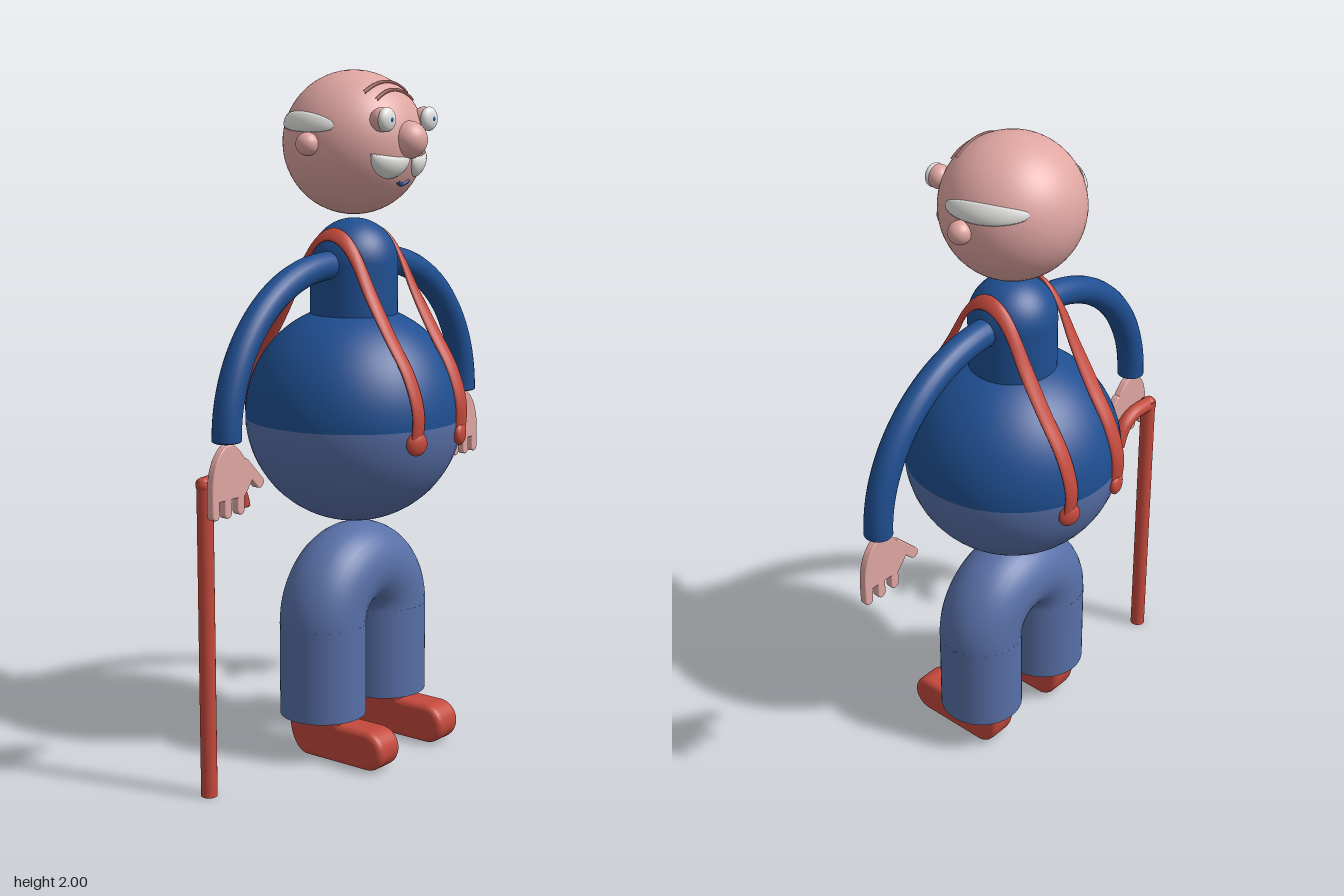
import * as THREE from 'three';
import { ParametricGeometry } from 'three/addons/geometries/ParametricGeometry.js';

const paint = (name, color, side = THREE.FrontSide) => {
  const m = new THREE.MeshStandardMaterial({ color, side });
  m.name = name;
  return m;
};
const V = (x, y, z = 0) => new THREE.Vector3(x, y, z);

export function createModel() {
  const shirt = paint('shirt blue', 0x1f4f92);
  const denim = paint('trouser blue', 0x5870a8);
  const skin = paint('skin pink', 0xe0a6a2);
  const red = paint('red', 0xc4493c, THREE.DoubleSide);
  const white = paint('hair white', 0xe2e2e0, THREE.DoubleSide);
  const crease = paint('crease brown', 0x8a5450);

  const root = new THREE.Group();
  root.name = 'oldMan';
  const add = (name, geo, mat, x = 0, y = 0, z = 0, parent = root) => {
    const m = new THREE.Mesh(geo, mat);
    m.name = name;
    m.position.set(x, y, z);
    parent.add(m);
    return m;
  };
  const ball = (r, t0 = 0, tl = Math.PI) => new THREE.SphereGeometry(r, 48, 32, 0, Math.PI * 2, t0, tl);
  const tube = (pts, r, n = 32) => new THREE.TubeGeometry(new THREE.CatmullRomCurve3(pts), n, r, 16);

  // Head
  const R = 0.205, HY = 1.795;
  const onHead = (x, y, r = R) => V(x, y, Math.sqrt(Math.max(0, r * r - x * x - (y - HY) ** 2)));
  add('head', ball(R), skin, 0, HY);
  add('nose', ball(0.053), skin, 0, 1.805, 0.195);

  // Forehead creases and mouth follow the head's surface
  const faceLine = (halfWidth, y, rise) =>
    tube(Array.from({ length: 11 }, (_, i) => {
      const t = i / 5 - 1;
      return onHead(t * halfWidth, y + rise * (1 - t * t));
    }), 0.0055);
  add('upperCrease', faceLine(0.1, 1.935, 0.03), crease);
  add('lowerCrease', faceLine(0.085, 1.915, 0.028), crease);
  add('mouth', faceLine(0.026, 1.691, -0.011), shirt);

  for (const s of [1, -1]) {
    const side = s > 0 ? 'left' : 'right';
    add(side + 'Ear', ball(0.033), skin, s * 0.212, HY, 0);

    // Eye: lid behind, flattened white in front, small pupil
    add(side + 'Eyelid', ball(0.034), skin, s * 0.1, 1.862, 0.175);
    add(side + 'Eye', ball(0.034), white, s * 0.1, 1.862, 0.192).scale.z = 0.55;
    add(side + 'Pupil', ball(0.008), shirt, s * 0.1, 1.862, 0.208).scale.z = 0.5;

    // Puffed moustache lobe with a straight top and round bottom
    add(side + 'Moustache', new ParametricGeometry((u, v, p) => {
      const x = 0.004 + 0.126 * u;
      const top = 1.757 + 0.013 * u * u;
      const y = top - v * 0.062 * Math.sqrt(Math.max(0, 1 - (u * 2 - 1) ** 2));
      const r = 0.2065 + 0.012 * Math.sqrt(Math.max(0, Math.sin(Math.PI * u) * Math.sin(Math.PI * v)));
      p.copy(onHead(s * x, y, r));
    }, 24, 12), white);

    // Hair band above the ear
    add(side + 'Hair', new ParametricGeometry((u, v, p) => {
      const z = 0.075 - 0.235 * u;
      const half = 0.028 * Math.pow(Math.max(0, Math.sin(Math.PI * u)), 0.4);
      const y = 1.858 - 0.014 * (1 - u) ** 3 + (v * 2 - 1) * half;
      const r = 0.2065 + 0.008 * Math.sqrt(Math.max(0, Math.sin(Math.PI * u) * Math.sin(Math.PI * v)));
      p.set(s * Math.sqrt(r * r - z * z - (y - HY) ** 2), y, z);
    }, 32, 10), white);
  }

  // Torso: round belly split at the waistband, narrow domed chest
  const split = Math.PI / 2 + 0.03;
  add('upperBelly', ball(0.32, 0, split), shirt, 0, 1.01);
  add('lowerBelly', ball(0.32, split, Math.PI - split), denim, 0, 1.01);
  add('chest', new THREE.CylinderGeometry(0.128, 0.128, 0.25, 48), shirt, 0, 1.327);
  add('shoulderDome', ball(0.128, 0, Math.PI / 2), shirt, 0, 1.452);

  // Trousers: an upside-down U
  add('trouserArch', new THREE.TorusGeometry(0.149, 0.127, 32, 48, Math.PI), denim, 0, 0.404);

  // Shoe side profile (x is forward), extruded across the foot
  const shoeShape = new THREE.Shape();
  shoeShape.moveTo(0.185, 0.02);
  shoeShape.lineTo(-0.03, 0.02);
  shoeShape.quadraticCurveTo(-0.05, 0.025, -0.06, 0.045);
  shoeShape.quadraticCurveTo(-0.075, 0.07, -0.075, 0.11);
  shoeShape.lineTo(-0.075, 0.2);
  shoeShape.lineTo(0.075, 0.2);
  shoeShape.lineTo(0.075, 0.11);
  shoeShape.quadraticCurveTo(0.08, 0.098, 0.1, 0.098);
  shoeShape.lineTo(0.185, 0.098);
  shoeShape.absarc(0.19, 0.059, 0.039, Math.PI / 2, -Math.PI / 2, true);
  const shoeGeo = new THREE.ExtrudeGeometry(shoeShape, {
    depth: 0.062, bevelSize: 0.02, bevelThickness: 0.02, bevelSegments: 5, curveSegments: 12,
  });
  shoeGeo.translate(0, 0, -0.031).rotateY(-Math.PI / 2);

  // Suspender centre line over one shoulder, in (y, z)
  const half = [[0.965, 0.305], [1.05, 0.309], [1.15, 0.277], [1.26, 0.208], [1.37, 0.142], [1.48, 0.082], [1.525, 0.04]];
  const strapPath = new THREE.CatmullRomCurve3([
    ...half.map(([y, z]) => V(0, y, z)), V(0, 1.538, 0),
    ...half.slice().reverse().map(([y, z]) => V(0, y, -z)),
  ]);
  const strap = (s) => new ParametricGeometry((u, v, p) => {
    const c = strapPath.getPointAt(u), t = strapPath.getTangentAt(u);
    const k = THREE.MathUtils.smoothstep(c.y, 1.25, 1.53);
    const a = v * Math.PI * 2;
    // Flat oval section, leaning outward on the shoulder
    const w = Math.cos(a) * (0.026 - 0.004 * k), h = Math.sin(a) * 0.01;
    const lean = 0.75 * k;
    p.set(s * (0.105 + w * Math.cos(lean)), c.y + t.z * h - w * Math.sin(lean), c.z - t.y * h);
  }, 80, 12);

  // Hand outline: domed palm; fingers and thumb are added as flat capsules
  const flat = (shape) => {
    const g = new THREE.ExtrudeGeometry(shape, {
      depth: 0.016, bevelSize: 0.004, bevelThickness: 0.004, bevelSegments: 3, curveSegments: 12,
    });
    return g.translate(0, 0, -0.008);
  };
  const palm = new THREE.Shape();
  palm.moveTo(-0.058, -0.055);
  palm.lineTo(0.068, -0.055);
  palm.bezierCurveTo(0.07, 0.01, 0.055, 0.06, 0.015, 0.087);
  palm.quadraticCurveTo(0, 0.09, -0.015, 0.087);
  palm.bezierCurveTo(-0.05, 0.07, -0.065, 0.03, -0.1, -0.005);
  palm.lineTo(-0.058, -0.055);
  const digit = (len, r) => {
    const d = new THREE.Shape();
    d.absarc(0, 0, r, 0, Math.PI, false);
    d.absarc(0, -len, r, Math.PI, Math.PI * 2, false);
    return flat(d);
  };

  for (const s of [1, -1]) {
    const side = s > 0 ? 'left' : 'right';
    add(side + 'TrouserLeg', new THREE.CylinderGeometry(0.127, 0.127, 0.274, 48), denim, s * 0.149, 0.267);
    add(side + 'Shoe', shoeGeo, red, s * 0.148, 0, 0);

    // Arm: quarter ring ending in a rounded cuff
    const arm = add(side + 'Arm', new THREE.TorusGeometry(0.442, 0.041, 20, 48, Math.PI / 2), shirt, s * 0.12, 1.008);
    if (s < 0) arm.rotation.y = Math.PI;
    add(side + 'Cuff', ball(0.041), shirt, s * 0.562, 1.008).scale.y = 0.2;

    // Suspender with a button at each end
    add(side + 'Suspender', strap(s), red);
    for (const f of [1, -1]) {
      const b = add(side + (f > 0 ? 'Front' : 'Back') + 'Button', ball(0.034), red, s * 0.106, 0.965, f * 0.305);
      b.scale.z = 0.5;
      b.rotation.y = f * s * 0.33;
    }

    // Hand, thumb toward the body
    const hand = new THREE.Group();
    hand.name = side + 'Hand';
    hand.position.set(s * 0.562, 0.905, 0);
    if (s < 0) hand.rotation.y = Math.PI;
    root.add(hand);
    add('palm', flat(palm), skin, 0, 0, 0, hand);
    [-0.045, 0.008, 0.057].forEach((x, i) =>
      add('finger' + (i + 1), digit(i === 1 ? 0.06 : 0.058, 0.0105), skin, x, -0.035, 0, hand));
    add('thumb', digit(0.085, 0.012), skin, -0.065, 0.03, 0, hand).rotation.z = -0.78;
  }

  // Walking stick behind the right hand, hook toward the body
  const cane = new THREE.Group();
  cane.name = 'walkingStick';
  cane.position.z = -0.043;
  root.add(cane);
  add('shaft', new THREE.CylinderGeometry(0.023, 0.023, 0.9, 24), red, -0.605, 0.45, 0, cane);
  add('handle', tube([
    V(-0.618, 0.886), V(-0.57, 0.89), V(-0.525, 0.888), V(-0.487, 0.868), V(-0.465, 0.838), V(-0.453, 0.805),
  ], 0.023), red, 0, 0, 0, cane);
  add('handleTip', ball(0.023), red, -0.453, 0.805, 0, cane).scale.y = 0.3;
  add('handleCorner', ball(0.023), red, -0.608, 0.888, 0, cane);

  return root;
}
